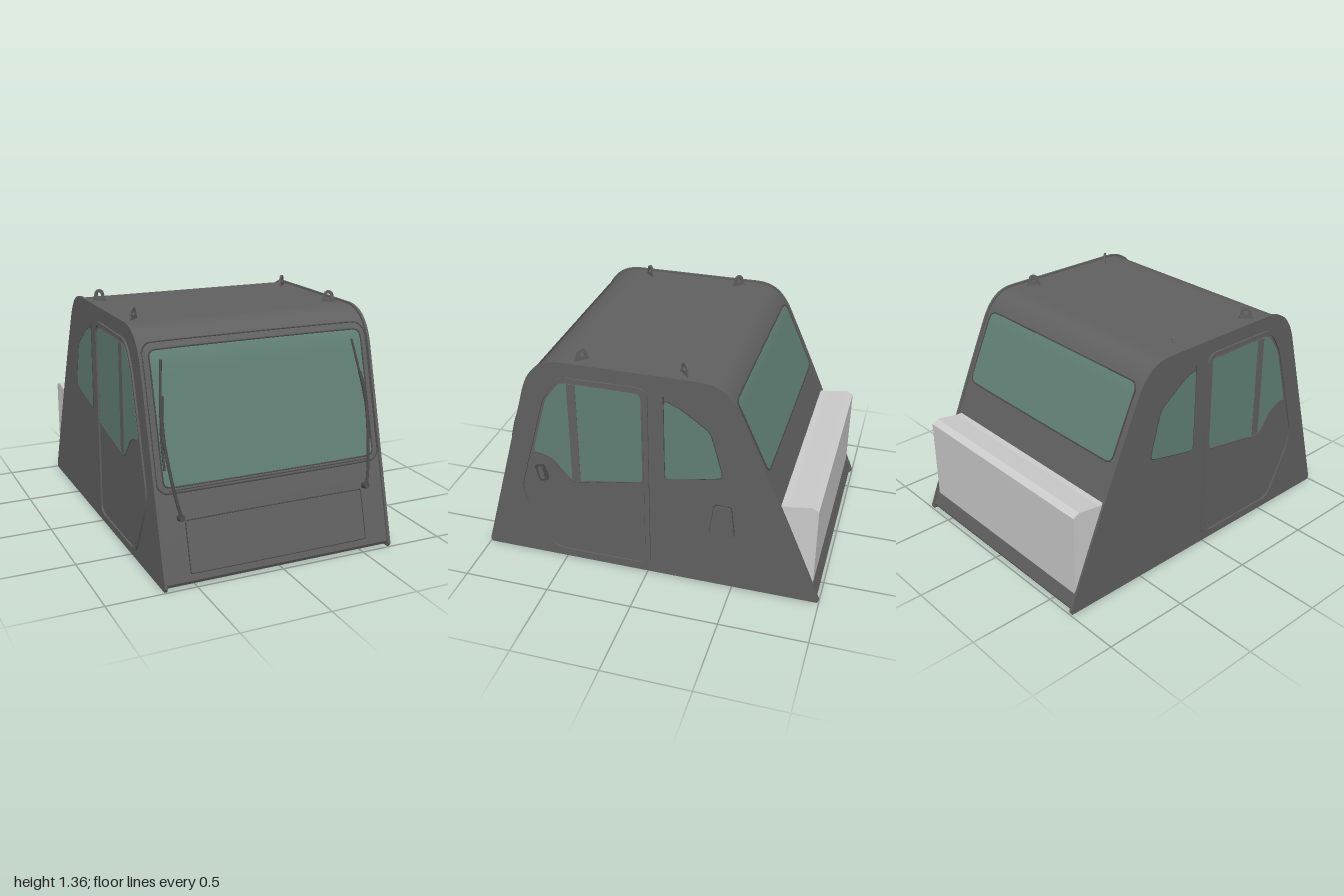
import * as THREE from 'three';
import { toCreasedNormals } from 'three/addons/utils/BufferGeometryUtils.js';

const mat = (color) => new THREE.MeshStandardMaterial({ color, side: THREE.DoubleSide });
const V = (x, y, z) => new THREE.Vector3(x, y, z);

// Side outline of the cab in (z, y)
function profile(kz = 1, ky = 1, lift = 0) {
  const s = new THREE.Shape();
  const p = (...a) => a.map((v, i) => (i % 2 ? lift + v * ky : v * kz));
  s.moveTo(...p(0.99, 0));
  s.lineTo(...p(1, 0.02));
  s.lineTo(...p(0.7, 1.1));
  s.bezierCurveTo(...p(0.66, 1.24, 0.58, 1.3, 0.46, 1.3));
  s.lineTo(...p(-0.3, 1.3));
  s.bezierCurveTo(...p(-0.4, 1.3, -0.46, 1.25, -0.51, 1.155));
  s.quadraticCurveTo(...p(-0.74, 0.66, -1, 0.02));
  s.lineTo(...p(-0.99, 0));
  return s;
}

// Polygon with rounded corners
function roundPoly(pts, r) {
  const s = new THREE.Shape();
  const v = pts.map((p) => new THREE.Vector2(...p));
  v.forEach((c, i) => {
    const a = v[(i + v.length - 1) % v.length], b = v[(i + 1) % v.length];
    const toward = (q) => c.clone().lerp(q, Math.min(r / c.distanceTo(q), 0.45));
    const p = toward(a), n = toward(b);
    if (i) s.lineTo(p.x, p.y); else s.moveTo(p.x, p.y);
    s.quadraticCurveTo(c.x, c.y, n.x, n.y);
  });
  s.closePath();
  return s;
}

// Extrude a (z, y) shape along x, between x0 and x1
function slab(shape, x0, x1) {
  const g = new THREE.ExtrudeGeometry(shape, { depth: x1 - x0, bevelEnabled: false, curveSegments: 14 });
  g.rotateY(-Math.PI / 2).translate(x1, 0, 0);
  return toCreasedNormals(g, 0.5);
}

const scaled = (pts, kz, ky) => pts.map(([z, y]) => [0.36 + (z - 0.36) * kz, 0.63 + (y - 0.63) * ky]);

export function createModel() {
  const root = new THREE.Group();
  const dark = mat(0x606060), trim = mat(0x4a4a4a), glass = mat(0x607f75), grey = mat(0xcccccc);
  const add = (name, geo, m, parent = root) => {
    const mesh = new THREE.Mesh(geo, m);
    mesh.name = name;
    parent.add(mesh);
    return mesh;
  };
  const tube = (name, pts, r, m = trim, closed = false, parent = root) =>
    add(name, new THREE.TubeGeometry(new THREE.CatmullRomCurve3(pts, closed, 'centripetal'), pts.length * 5, r, 6, closed), m, parent);

  // Shell between two slightly taller side plates
  const inner = profile(0.985, 0.983, 0.012);
  add('cabShell', slab(inner, -0.67, 0.67), dark);
  for (const s of [-1, 1]) add('sidePlate', slab(profile(), s > 0 ? 0.665 : -0.68, s > 0 ? 0.68 : -0.665), dark);

  // Depth of the shell at a height, on its front (1) or back (-1)
  const outline = inner.getPoints(30);
  const surfaceZ = (y, side) => {
    for (let i = 1; i < outline.length; i++) {
      const a = outline[i - 1], b = outline[i];
      if (a.x * side > 0.2 && b.x * side > 0.2 && (a.y - y) * (b.y - y) <= 0 && a.y !== b.y)
        return a.x + ((b.x - a.x) * (y - a.y)) / (b.y - a.y);
    }
    return side;
  };

  // Rounded panel that follows the sloping front or back
  const rows = 40;
  function panel(name, w, y0, y1, r, side, off, m, seam = 0.004) {
    const g = new THREE.PlaneGeometry(2, 1, 1, rows);
    const pos = g.attributes.position, left = [], right = [];
    for (let i = 0; i < pos.count; i++) {
      const t = (1 - Math.cos((Math.floor(i / 2) / rows) * Math.PI)) / 2;
      const y = y1 + (y0 - y1) * t;
      const d = Math.min(r, y1 - y, y - y0);
      const half = w - r + Math.sqrt(Math.max(0, r * r - (r - d) ** 2));
      const sx = i % 2 ? 1 : -1;
      pos.setXYZ(i, sx * side * half, y, surfaceZ(y, side) + side * off);
      (sx > 0 ? right : left).push(V(pos.getX(i), y, pos.getZ(i)));
    }
    g.computeVertexNormals();
    add(name, g, m);
    tube(name + 'Seam', [...left, ...right.reverse()], seam, trim, true);
  }
  panel('windscreenFrame', 0.66, 0.48, 1.22, 0.06, 1, 0.004, dark);
  panel('windscreen', 0.625, 0.51, 1.187, 0.035, 1, 0.008, glass);
  panel('frontHatch', 0.526, 0.07, 0.335, 0.004, 1, 0.003, dark, 0.003);
  panel('rearWindow', 0.635, 0.79, 1.19, 0.04, -1, 0.006, glass);
  tube('windscreenSill', [V(-0.6, 0.498, surfaceZ(0.498, 1) + 0.006), V(0.6, 0.498, surfaceZ(0.498, 1) + 0.006)], 0.008, dark);

  // Doors and side windows, built on +x and mirrored by their x range
  const doorPts = [[-0.018, 1.22], [0.5, 1.215], [0.59, 1.08], [0.77, 0.45], [0.745, 0.35], [0.58, 0.04], [-0.018, 0.04]];
  const doorGlass = [[0.02, 1.18], [0.48, 1.18], [0.565, 1.06], [0.66, 0.715], [0.54, 0.68], [0.43, 0.555], [0.02, 0.625]];
  const rearGlass = [[-0.105, 1.165], [-0.19, 1.13], [-0.36, 1.01], [-0.435, 0.735], [-0.11, 0.665]];
  for (const s of [-1, 1]) {
    const side = new THREE.Group();
    side.name = s > 0 ? 'leftSide' : 'rightSide';
    root.add(side);
    const put = (name, shape, x0, x1, m) =>
      add(name, s > 0 ? slab(shape, x0, x1) : slab(shape, -x1, -x0), m, side);
    const ridge = roundPoly(doorPts, 0.07);
    ridge.holes.push(roundPoly(scaled(doorPts, 0.95, 0.967), 0.06));
    put('doorFrame', ridge, 0.675, 0.69, dark);
    const leaf = roundPoly(scaled(doorPts, 0.92, 0.945), 0.06);
    put('doorLeaf', leaf, 0.675, 0.684, dark);
    put('doorWindow', roundPoly(doorGlass, 0.035), 0.678, 0.686, glass);
    put('doorMullion', roundPoly([[0.385, 1.18], [0.435, 1.18], [0.435, 0.56], [0.385, 0.565]], 0.003), 0.678, 0.688, dark);
    const sill = [[0.66, 0.712], [0.6, 0.705], [0.54, 0.675], [0.48, 0.6], [0.43, 0.558], [0.3, 0.577], [0.02, 0.625]];
    tube('doorWindowSill', sill.map(([z, y]) => V(s * 0.684, y, z)), 0.006, dark, false, side);
    put('rearSideWindow', roundPoly(rearGlass, 0.03), 0.675, 0.683, glass);
    tube('rearSideWindowSeam', roundPoly(rearGlass, 0.03).getPoints(5).map((p) => V(s * 0.681, p.y, p.x)), 0.003, trim, true, side);
  }

  // Door handle and service flap, on the left side only
  const handle = [[0.575, 0.535], [0.635, 0.515], [0.665, 0.62], [0.6, 0.64]];
  add('handlePlate', slab(roundPoly(handle, 0.02), 0.68, 0.687), trim);
  add('handleGrip', slab(roundPoly([[0.6, 0.54], [0.628, 0.534], [0.645, 0.61], [0.616, 0.618]], 0.01), 0.68, 0.692), dark);
  const flap = [[-0.36, 0.36], [-0.51, 0.36], [-0.487, 0.557], [-0.387, 0.557]];
  add('serviceFlapSeam', slab(roundPoly(flap, 0.02), 0.675, 0.684), trim);
  add('serviceFlap', slab(roundPoly(flap.map(([z, y]) => [-0.436 + (z + 0.436) * 0.94, 0.458 + (y - 0.458) * 0.95]), 0.02), 0.675, 0.69), dark);

  // Rear counter box, cut off by the sloping back
  const box = new THREE.Shape([[-0.7, 0.595], [-0.785, 0.595], [-0.915, 0.615], [-0.955, 0.595], [-0.955, 0.11], [-0.9, 0.11], [-0.7, 0.45]]
    .map((p) => new THREE.Vector2(...p)));
  add('rearBox', toCreasedNormals(slab(box, -0.668, 0.645), 0.1), grey);

  // Lifting eyes, turned towards the roof corners
  const eye = new THREE.Shape();
  eye.moveTo(-0.042, 0);
  eye.lineTo(-0.028, 0.04);
  eye.absarc(0, 0.04, 0.028, Math.PI, 0, true);
  eye.lineTo(0.042, 0);
  eye.holes.push(new THREE.Path().absarc(0, 0.037, 0.013, 0, Math.PI * 2));
  const eyeGeo = new THREE.ExtrudeGeometry(eye, { depth: 0.012, bevelEnabled: false }).translate(0, 0, -0.006);
  for (const s of [-1, 1]) for (const [z, d] of [[0.372, 1], [-0.198, -1]]) {
    const m = add('liftingEye', eyeGeo, dark);
    m.position.set(s * 0.597, 1.287, z);
    m.rotation.y = -s * d * Math.PI / 4;
  }

  // Windscreen wipers
  for (const s of [-1, 1]) {
    const at = ([x, y, off]) => V(s * x, y, surfaceZ(y, 1) + off);
    const w = new THREE.Group();
    w.name = 'wiper';
    root.add(w);
    const pivot = add('wiperPivot', new THREE.CylinderGeometry(0.017, 0.019, 0.04, 16), trim, w);
    pivot.position.copy(at([0.552, 0.357, 0.015]));
    pivot.rotation.x = 1.3;
    tube('wiperArm', [[0.552, 0.357, 0.03], [0.572, 0.45, 0.03], [0.594, 0.62, 0.03], [0.606, 0.77, 0.028]].map(at), 0.009, trim, false, w);
    tube('wiperLink', [[0.606, 0.74, 0.028], [0.603, 0.86, 0.03], [0.588, 0.965, 0.022]].map(at), 0.011, trim, false, w);
    tube('wiperBlade', [[0.612, 0.6, 0.014], [0.612, 0.75, 0.016], [0.592, 0.95, 0.016], [0.565, 1.14, 0.012]].map(at), 0.007, trim, false, w);
  }
  return root;
}
